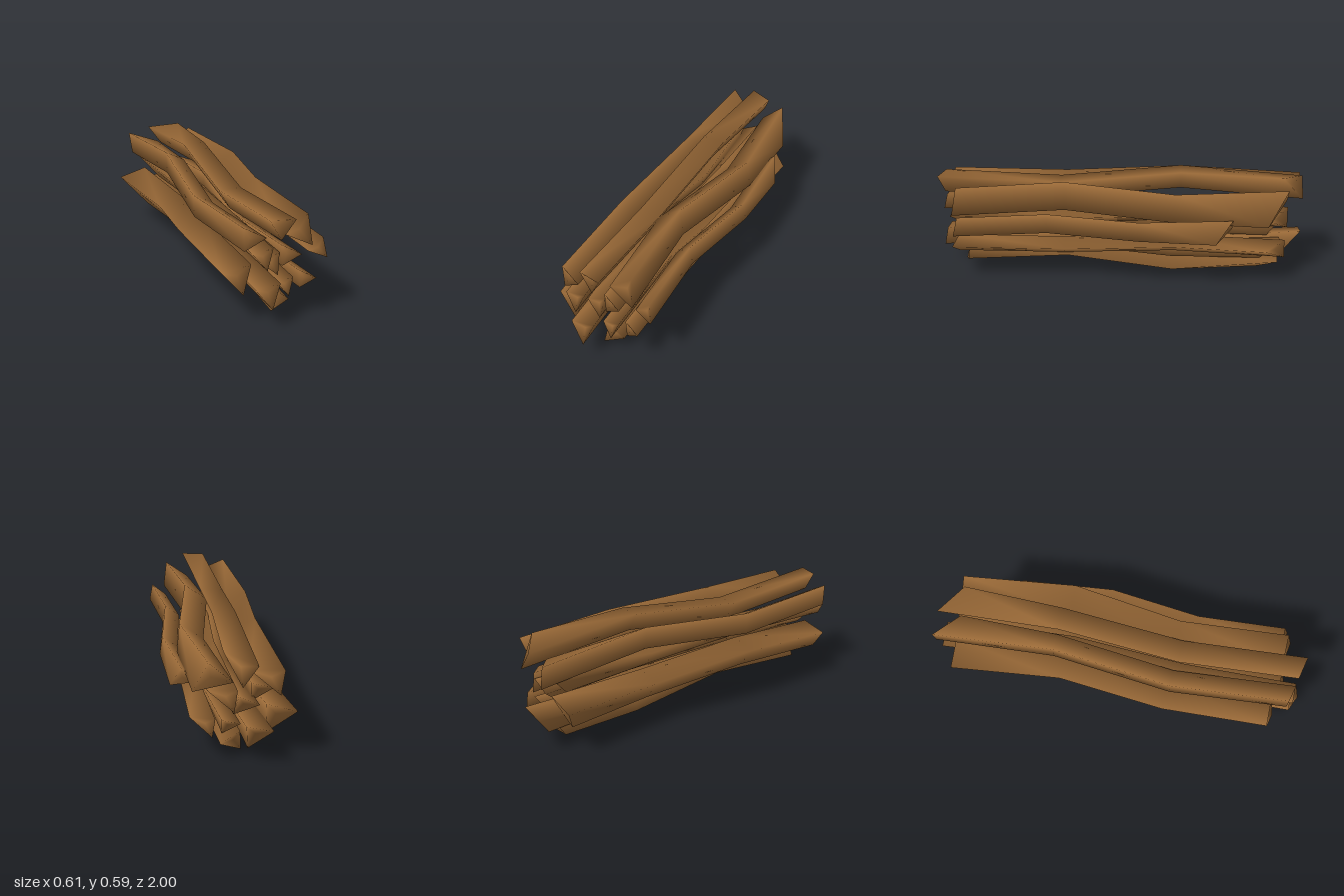
import * as THREE from 'three';

// Unit stick: three-sided, four rings from front to back.
// Corner order in each ring: left, top, lower right.
const START = 185.5, RADIUS = 0.09;
const rings = [
  { z: [0.97, 0.97, 1.0], shift: [[0, 0], [0, 0], [0, 0]] },
  { z: [0.33, 0.33, 0.33], shift: [[-0.045, 0.026], [-0.045, 0.026], [-0.045, 0.026]] },
  { z: [-0.33, -0.33, -0.33], shift: [[0.055, 0.001], [0.055, 0.001], [0.055, 0.001]] },
  { z: [-1, -1, -0.88], shift: [[-0.01, -0.012], [-0.013, 0.005], [0.036, -0.028]] },
];
const RECESS = 0.03;

// x, y: centre of the front end; turn: degrees about z; size: thickness;
// front, back: z of the two ends
const sticks = [
  { x: -0.193, y: 0.243, turn: -24, size: 1.0, front: 0.89, back: -0.91 },
  { x: 0.126, y: 0.454, turn: 0, size: 1.0, front: 0.91, back: -0.91 },
  { x: -0.013, y: 0.520, turn: 85, size: 0.8, front: 1.0, back: -1.0 },
  { x: -0.160, y: 0.465, turn: 58, size: 0.78, front: 0.97, back: -1.0 },
  { x: -0.105, y: 0.374, turn: -27, size: 0.7, front: 1.0, back: -0.9 },
  { x: -0.030, y: 0.310, turn: -15, size: 0.7, front: 0.92, back: -0.92 },
  { x: 0.050, y: 0.346, turn: 57, size: 0.7, front: 0.93, back: -0.92 },
  { x: 0.232, y: 0.345, turn: 3, size: 0.66, front: 0.89, back: -0.61 },
  { x: 0.150, y: 0.203, turn: 58, size: 0.59, front: 0.91, back: -0.9 },
  { x: 0.044, y: 0.187, turn: -27, size: 0.59, front: 0.92, back: -0.88 },
  { x: -0.075, y: 0.182, turn: -28, size: 0.85, front: 1.0, back: -1.0 },
  { x: 0.020, y: 0.095, turn: -75, size: 0.72, front: 0.87, back: -0.87 },
];

function stickGeometry({ x, y, turn, size, front, back }) {
  const t = THREE.MathUtils.degToRad(turn);
  const mid = (front + back) / 2, half = (front - back) / 2;
  const points = [];
  for (const ring of rings) {
    for (let i = 0; i < 3; i++) {
      const a = THREE.MathUtils.degToRad(START - 120 * i);
      const px = (RADIUS * Math.cos(a) + ring.shift[i][0]) * size;
      const py = (RADIUS * Math.sin(a) + ring.shift[i][1]) * size;
      points.push(new THREE.Vector3(
        x + px * Math.cos(t) - py * Math.sin(t),
        y + px * Math.sin(t) + py * Math.cos(t),
        mid + ring.z[i] * half));
    }
  }
  // slightly sunken end centres
  const last = (rings.length - 1) * 3;
  const centre = (k) => new THREE.Vector3()
    .add(points[k]).add(points[k + 1]).add(points[k + 2]).divideScalar(3);
  const c0 = centre(0), c1 = centre(last);
  c0.z -= RECESS * size;
  c1.z += RECESS * size;
  const f = points.push(c0) - 1, b = points.push(c1) - 1;

  const index = [];
  for (let i = 0; i < 3; i++) {
    const j = (i + 1) % 3;
    for (let r = 0; r < last; r += 3) {
      index.push(r + j, r + 3 + j, r + i, r + i, r + 3 + j, r + 3 + i);
    }
    index.push(f, j, i, b, last + i, last + j);
  }
  const geometry = new THREE.BufferGeometry().setFromPoints(points);
  geometry.setIndex(index);
  geometry.computeVertexNormals();
  return geometry;
}

export function createModel() {
  const group = new THREE.Group();
  group.name = 'stickBundle';
  const wood = new THREE.MeshStandardMaterial({ color: 0x9c6b38 });
  wood.name = 'brown wood';
  sticks.forEach((s, i) => {
    const mesh = new THREE.Mesh(stickGeometry(s), wood);
    mesh.name = `stick${i + 1}`;
    group.add(mesh);
  });
  return group;
}
